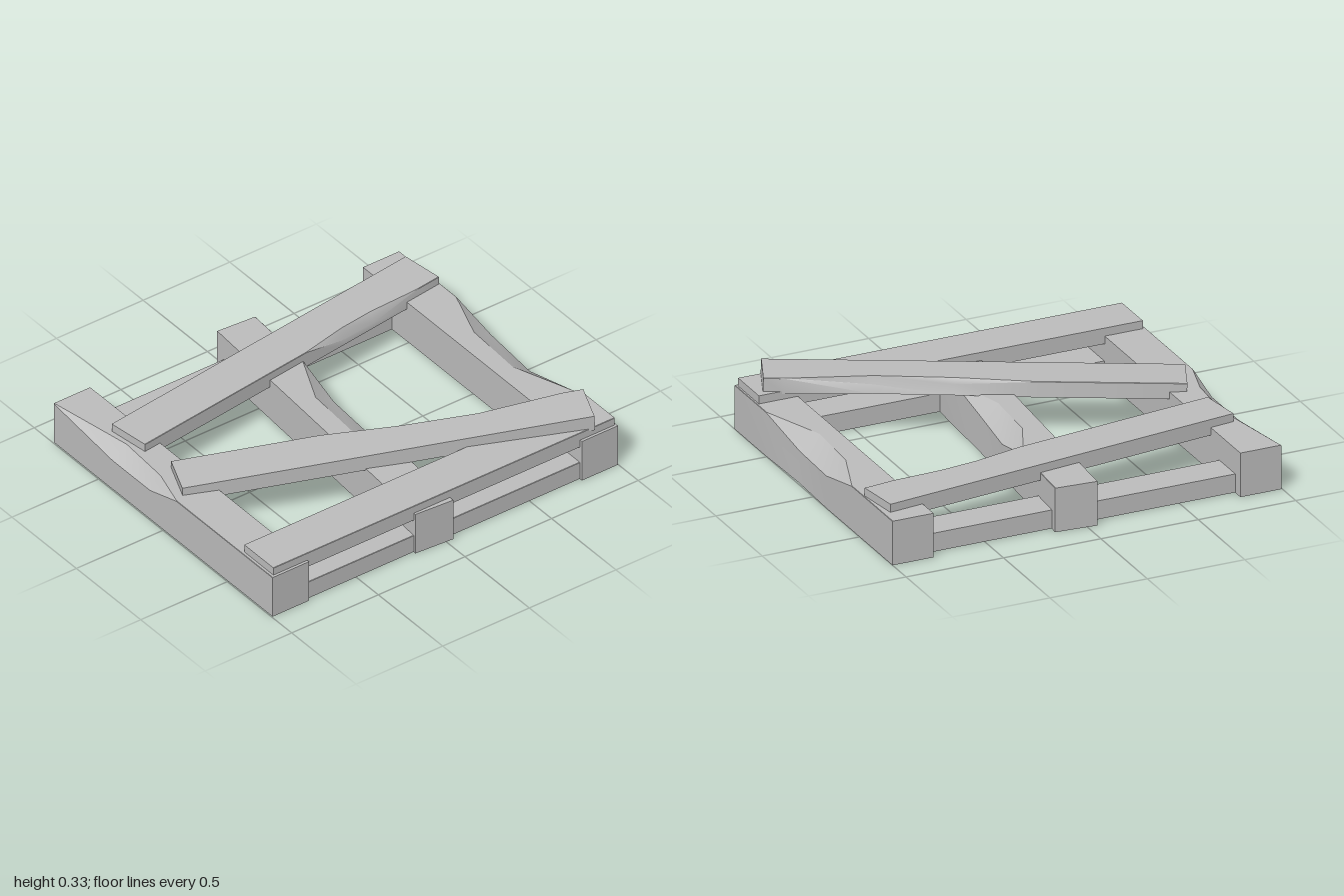
import * as THREE from 'three';
import { toCreasedNormals } from 'three/addons/utils/BufferGeometryUtils.js';

const wood = new THREE.MeshStandardMaterial({ color: 0xbcbcbc });
wood.name = 'plain grey wood';

// Board from one end centre to the other. Its upper edge on local +z is worn:
// each wear row is [position 0..1, drop, inset on top, inset of the side].
function board(name, from, to, width, height, wear = []) {
  const a = new THREE.Vector3(...from), b = new THREE.Vector3(...to);
  const length = a.distanceTo(b), h = height / 2, w = width / 2;
  const rows = [[0, 0, 0, 0], ...wear, [1, 0, 0, 0]];
  const rings = rows.map(([t, drop, inset, side]) => {
    const x = (t - 0.5) * length;
    const d = Math.max(drop, 0.002), n = Math.max(inset, 0.002);
    return [[x, -h, -w], [x, h, -w], [x, h, w - side - n], [x, h - d, w - side], [x, -h, w - side * 0.5]];
  });
  const pos = [];
  const tri = (...pts) => pts.forEach((p) => pos.push(...p));
  for (let i = 0; i < rings.length - 1; i++) {
    for (let j = 0; j < 5; j++) {
      const k = (j + 1) % 5, r = rings[i], s = rings[i + 1];
      tri(r[j], r[k], s[k]);
      tri(r[j], s[k], s[j]);
    }
  }
  const first = rings[0], last = rings[rings.length - 1];
  for (let j = 1; j < 4; j++) {
    tri(first[0], first[j + 1], first[j]);
    tri(last[0], last[j], last[j + 1]);
  }
  const geo = new THREE.BufferGeometry();
  geo.setAttribute('position', new THREE.Float32BufferAttribute(pos, 3));

  // Lay the board along its direction with its top kept upward
  const X = b.clone().sub(a).normalize();
  const Z = X.clone().cross(new THREE.Vector3(0, 1, 0)).normalize();
  const Y = Z.clone().cross(X);
  const mesh = new THREE.Mesh(toCreasedNormals(geo, 0.5), wood);
  mesh.quaternion.setFromRotationMatrix(new THREE.Matrix4().makeBasis(X, Y, Z));
  mesh.position.copy(a).add(b).multiplyScalar(0.5);
  mesh.name = name;
  return mesh;
}

export function createModel() {
  const pallet = new THREE.Group();
  pallet.name = 'brokenPallet';

  // Three heavy cross beams
  const y = 0.118, tall = 0.224;
  pallet.add(
    board('frontBeam', [-0.855, y, 0.89], [0.845, y, 0.89], 0.21, tall,
      [[0.27, 0.06, 0.08, 0], [0.44, 0.06, 0.06, 0], [0.56, 0, 0, 0]]),
    board('middleBeam', [0.85, y, 0.065], [-0.85, y, -0.055], 0.21, tall,
      [[0.24, 0, 0, 0], [0.42, 0.05, 0.09, 0.015], [0.6, 0.065, 0.1, 0.005], [0.76, 0, 0, 0]]),
    board('backBeam', [0.845, y, -0.895], [-0.855, y, -0.895], 0.21, tall,
      [[0.2, 0, 0, 0], [0.39, 0.07, 0.1, 0.018], [0.58, 0.06, 0.1, 0], [0.74, 0, 0, 0]])
  );

  // Thin runners between the beams at floor level
  pallet.add(
    board('rightRunner', [-0.713, 0.055, 0.96], [-0.715, 0.055, -0.96], 0.174, 0.094),
    board('leftRunner', [0.72, 0.055, 0.96], [0.72, 0.055, -0.96], 0.22, 0.094)
  );

  // Deck planks: one straight, one skewed, one fallen across the straight one
  pallet.add(
    board('straightPlank', [0.718, 0.231, 0.98], [0.718, 0.231, -0.99], 0.226, 0.08),
    board('skewedPlank', [-0.41, 0.231, 0.895], [-0.65, 0.231, -0.98], 0.222, 0.08,
      [[0.55, 0, 0, 0], [0.68, 0.05, 0.025, 0], [0.78, 0.05, 0.025, 0], [0.92, 0, 0, 0]]),
    board('fallenPlank', [0.74, 0.3, -0.91], [-0.022, 0.231, 0.903], 0.22, 0.08,
      [[0.05, 0, 0, 0], [0.26, 0.04, 0.01, 0.035], [0.45, 0.03, 0.01, 0.025], [0.64, 0, 0, 0]])
  );
  return pallet;
}
